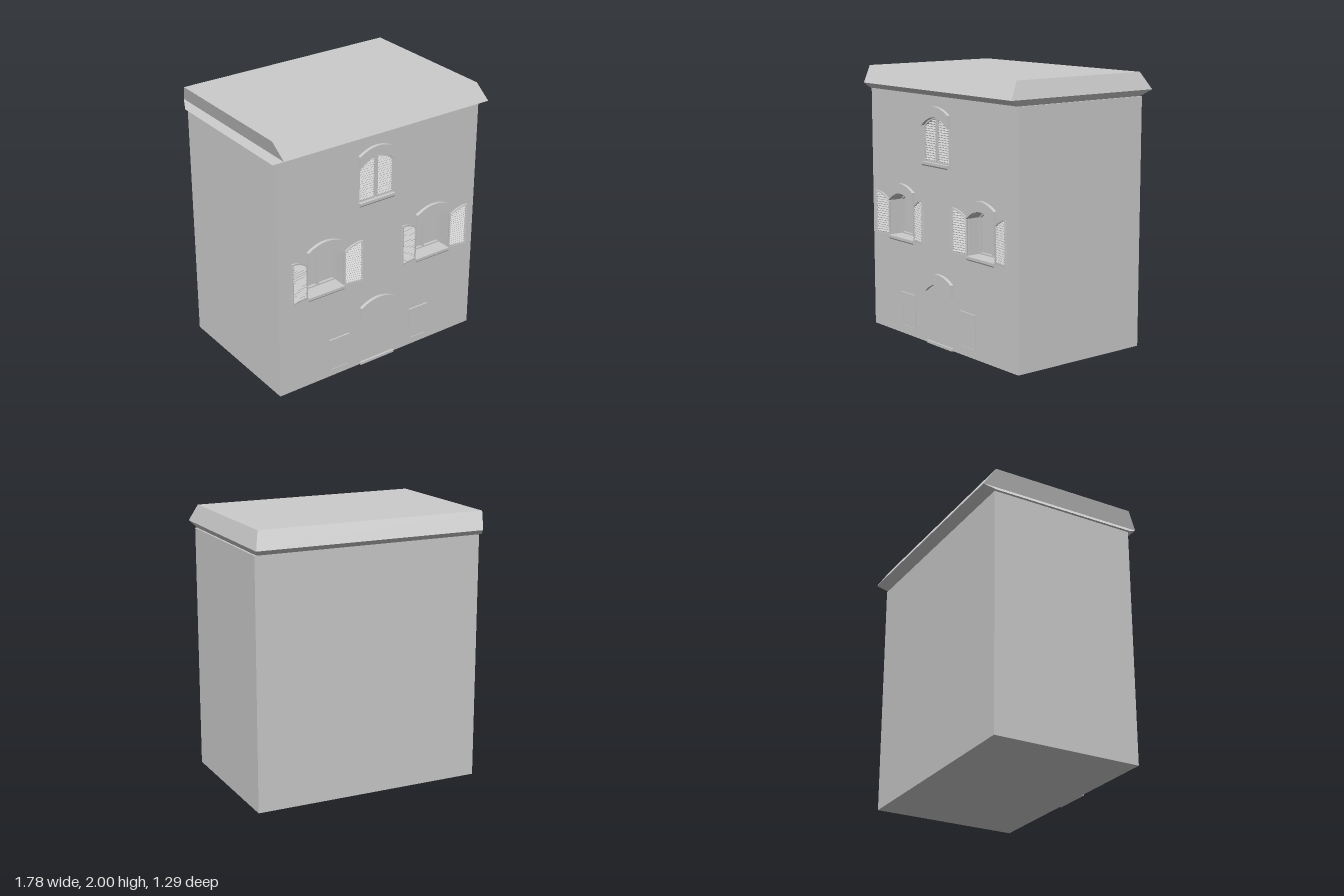
import * as THREE from 'three';

const mat = new THREE.MeshStandardMaterial({ color: 0xcccccc, flatShading: true });
const WALL = 0.565;   // front wall plane
const DEEP = 0.11;    // recess depth of the windows
const HALF = 0.152;   // half width of an opening
const RISE = 0.07;    // rise of the arches

function add(parent, name, geo, x = 0, y = 0, z = 0) {
  const m = new THREE.Mesh(geo, mat);
  m.name = name;
  m.position.set(x, y, z);
  parent.add(m);
  return m;
}

const box = (w, h, d) => new THREE.BoxGeometry(w, h, d);
const extrude = (shape, depth) => new THREE.ExtrudeGeometry(shape, { depth, bevelEnabled: false });
const vec = (list) => list.map(([x, y]) => new THREE.Vector2(x, y));

// Points of a shallow arch from x0 to x1 (measured from the opening's centre)
function arch(x0, x1, spring, rise, half = HALF, n = 14) {
  return Array.from({ length: n + 1 }, (_, i) => {
    const x = x0 + (x1 - x0) * i / n;
    return [x, spring + rise * (1 - (x / half) ** 2)];
  });
}

// Outline of an arched opening, inset by t
function opening(cx, bottom, spring, t = 0) {
  const h = HALF - t;
  const pts = [[-h, bottom + t], [h, bottom + t], ...arch(h, -h, spring - t, RISE)];
  return vec(pts.map(([x, y]) => [x + cx, y]));
}

// Rectangular or arched ring
function ring(outer, inner, depth) {
  const s = new THREE.Shape(outer);
  s.holes.push(new THREE.Path(inner));
  return extrude(s, depth);
}

const rect = (x0, y0, x1, y1) => vec([[x0, y0], [x1, y0], [x1, y1], [x0, y1]]);

// Arched hood over an opening
function hood(parent, cx, spring) {
  const w = 0.155;
  const s = new THREE.Shape(vec([...arch(-w, w, spring, RISE, w), ...arch(w, -w, spring + 0.095, 0.05, w)]));
  add(parent, 'archHood', extrude(s, 0.035), cx, 0, WALL - 0.01);
}

// Sill with a chamfered lower edge
function sill(parent, cx, top) {
  const s = new THREE.Shape(vec([[0, 0], [0.018, 0], [0.026, 0.01], [0.026, 0.03], [0, 0.03]]));
  const m = add(parent, 'sill', extrude(s, 0.306), cx + 0.153, top - 0.03, WALL);
  m.rotation.y = -Math.PI / 2;
}

// Louvred shutter hinged at x, reaching out along dir, highest at its free edge
function shutter(parent, x, z, dir, bottom, spring, angle) {
  const g = new THREE.Group();
  g.name = 'shutter';
  const W = 0.146, t = 0.011, h = spring - bottom;
  const topAt = (u) => h + 0.065 * (1 - (1 - u / W) ** 2);
  const outline = (a) => {
    const pts = [[a, a], [W - a, a]];
    for (let i = 0; i <= 8; i++) {
      const u = W - a - (W - 2 * a) * i / 8;
      pts.push([u, topAt(u) - a]);
    }
    return vec(pts.map(([u, v]) => [u * dir, v]));
  };
  add(g, 'shutterFrame', ring(outline(0), outline(t), 0.014), 0, 0, -0.007);
  const pitch = 0.0175;
  for (let y = t + pitch / 2; y < topAt(W) - t - 0.004; y += pitch) {
    const k = Math.max(0, (y + t + 0.003 - h) / 0.065);
    const u0 = Math.max(t, W * (1 - Math.sqrt(Math.max(0, 1 - k)))), u1 = W - t;
    if (u1 - u0 < 0.01) continue;
    const slat = add(g, 'slat', box(u1 - u0, 0.003, 0.016), dir * (u0 + u1) / 2, y, 0);
    slat.rotation.x = 0.7;
  }
  g.position.set(x, bottom, z);
  g.rotation.y = -dir * angle;
  parent.add(g);
}

// Closed ring-by-ring solid for the roof; each ring is [y, x0, x1, halfDepth]
function roofGeometry(rings) {
  const pos = [], idx = [], last = (rings.length - 1) * 4;
  for (const [y, x0, x1, d] of rings) pos.push(x0, y, d, x1, y, d, x1, y, -d, x0, y, -d);
  for (let r = 0; r < last; r += 4) {
    for (let i = 0; i < 4; i++) {
      const a = r + i, b = r + (i + 1) % 4;
      idx.push(a, b, b + 4, a, b + 4, a + 4);
    }
  }
  idx.push(0, 2, 1, 0, 3, 2, last, last + 1, last + 2, last, last + 2, last + 3);
  const g = new THREE.BufferGeometry();
  g.setAttribute('position', new THREE.Float32BufferAttribute(pos, 3));
  g.setIndex(idx);
  const flat = g.toNonIndexed();
  flat.computeVertexNormals();
  return flat;
}

export function createModel() {
  const house = new THREE.Group();
  house.name = 'house';

  // Walls: solid core plus a front wall pierced by the three windows
  const windows = [
    { cx: -0.043, bottom: 1.35, spring: 1.61, open: false },
    { cx: -0.477, bottom: 0.74, spring: 1.003, open: true },
    { cx: 0.478, bottom: 0.74, spring: 1.003, open: true },
  ];
  const coreDepth = 2 * WALL - DEEP;
  add(house, 'walls', box(1.74, 1.83, coreDepth), 0, 0.915, -DEEP / 2);
  const front = new THREE.Shape(rect(-0.87, 0, 0.87, 1.83));
  for (const w of windows) front.holes.push(new THREE.Path(opening(w.cx, w.bottom, w.spring)));
  add(house, 'frontWall', extrude(front, DEEP), 0, 0, WALL - DEEP);

  // Flared roof slab, its ends slanting the same way
  add(house, 'roof', roofGeometry([
    [1.83, -0.89, 0.855, 0.565],
    [1.875, -0.853, 0.89, 0.645],
    [2, -0.89, 0.845, 0.565],
  ]));

  for (const { cx, bottom, spring, open } of windows) {
    const g = new THREE.Group();
    g.name = 'window';
    house.add(g);
    hood(g, cx, spring);
    sill(g, cx, bottom);
    // Casement frame and centre bars at the back of the recess
    const z = WALL - DEEP;
    add(g, 'windowFrame', ring(opening(cx, bottom, spring), opening(cx, bottom, spring, 0.011), 0.02), 0, 0, z);
    const barH = spring + RISE - bottom - 0.005;
    add(g, 'centreBar', box(0.018, barH, 0.02), cx, bottom + barH / 2, z + 0.01);
    // Shutters, folded back or closed
    for (const side of [-1, 1]) {
      if (open) shutter(g, cx + side * 0.157, WALL + 0.009, side, bottom, spring - 0.003, 0.17);
      else shutter(g, cx + side * 0.151, WALL - 0.007, -side, bottom, spring, 0);
    }
  }

  // Doorway hood and step
  hood(house, -0.015, 0.395);
  add(house, 'doorStep', box(0.306, 0.02, 0.03), -0.015, 0.01, WALL);

  // Framed boards either side of the doorway
  for (const cx of [-0.375, 0.348]) {
    const g = new THREE.Group();
    g.name = 'wallBoard';
    add(g, 'boardFrame', ring(rect(-0.086, 0.068, 0.086, 0.334), rect(-0.071, 0.083, 0.071, 0.319), 0.012), 0, 0, 0.588);
    add(g, 'boardPanel', box(0.142, 0.236, 0.006), 0, 0.201, 0.593);
    g.position.x = cx;
    house.add(g);
  }
  return house;
}
